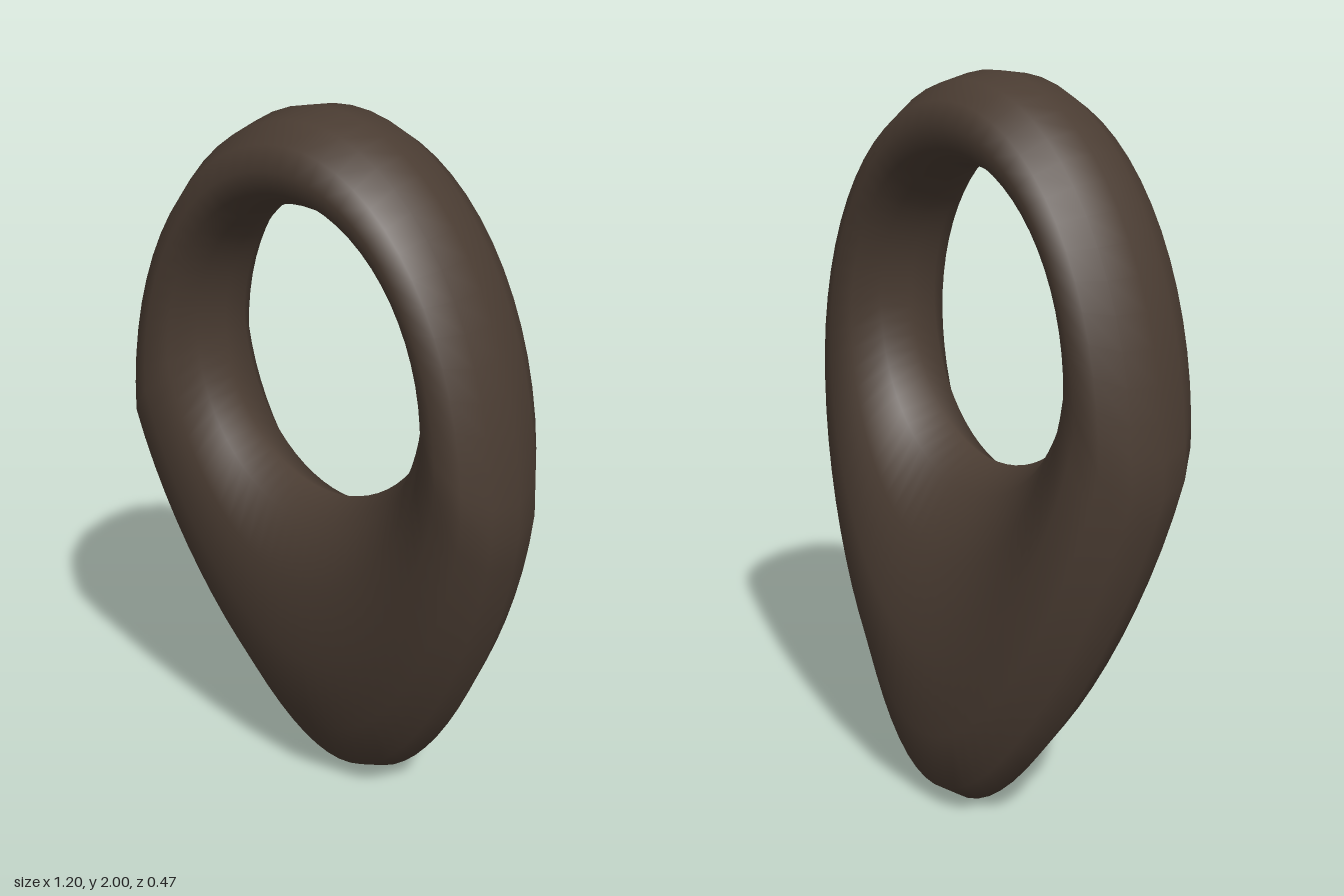
import * as THREE from 'three';

const AROUND = 64; // sections around the hole
const SIDES = 12; // corners of each rounded section

// A point on the loop: t runs round the hole, a runs round the section.
function surfacePoint(t, a) {
  const c = Math.cos(t), s = Math.sin(t);
  const low = Math.max(0, -s);
  // oval hole, and an egg-shaped rim that tapers to the bottom
  const inner = [0.35 * c, 1.36 + 0.4 * s];
  const outer = [0.6 * c * (1 - 0.3 * low), s > 0 ? 1.02 + 0.98 * s : 1.02 - 1.016 * low];
  const u = (1 + Math.cos(a)) / 2; // 0 at the hole, 1 at the rim
  return [
    inner[0] + (outer[0] - inner[0]) * u,
    inner[1] + (outer[1] - inner[1]) * u,
    0.043 + 0.19 * Math.sin(a) - 0.15 * low * u, // lower tip leans back
  ];
}

function loopGeometry() {
  const positions = [], index = [];
  for (let i = 0; i < AROUND; i++) {
    for (let j = 0; j < SIDES; j++) {
      positions.push(...surfacePoint((i / AROUND) * Math.PI * 2, (j / SIDES) * Math.PI * 2));
      const i2 = (i + 1) % AROUND, j2 = (j + 1) % SIDES;
      const p = i * SIDES + j, q = i2 * SIDES + j, r = i2 * SIDES + j2, w = i * SIDES + j2;
      index.push(p, q, r, p, r, w);
    }
  }
  const geometry = new THREE.BufferGeometry();
  geometry.setAttribute('position', new THREE.Float32BufferAttribute(positions, 3));
  geometry.setIndex(index);
  geometry.computeVertexNormals();
  return geometry;
}

export function createModel() {
  const darkBrown = new THREE.MeshStandardMaterial({ color: 0x4a3c32 });
  darkBrown.name = 'darkBrown';

  const body = new THREE.Mesh(loopGeometry(), darkBrown);
  body.name = 'piercedTeardropBody';

  const group = new THREE.Group();
  group.name = 'piercedTeardrop';
  group.add(body);
  return group;
}
